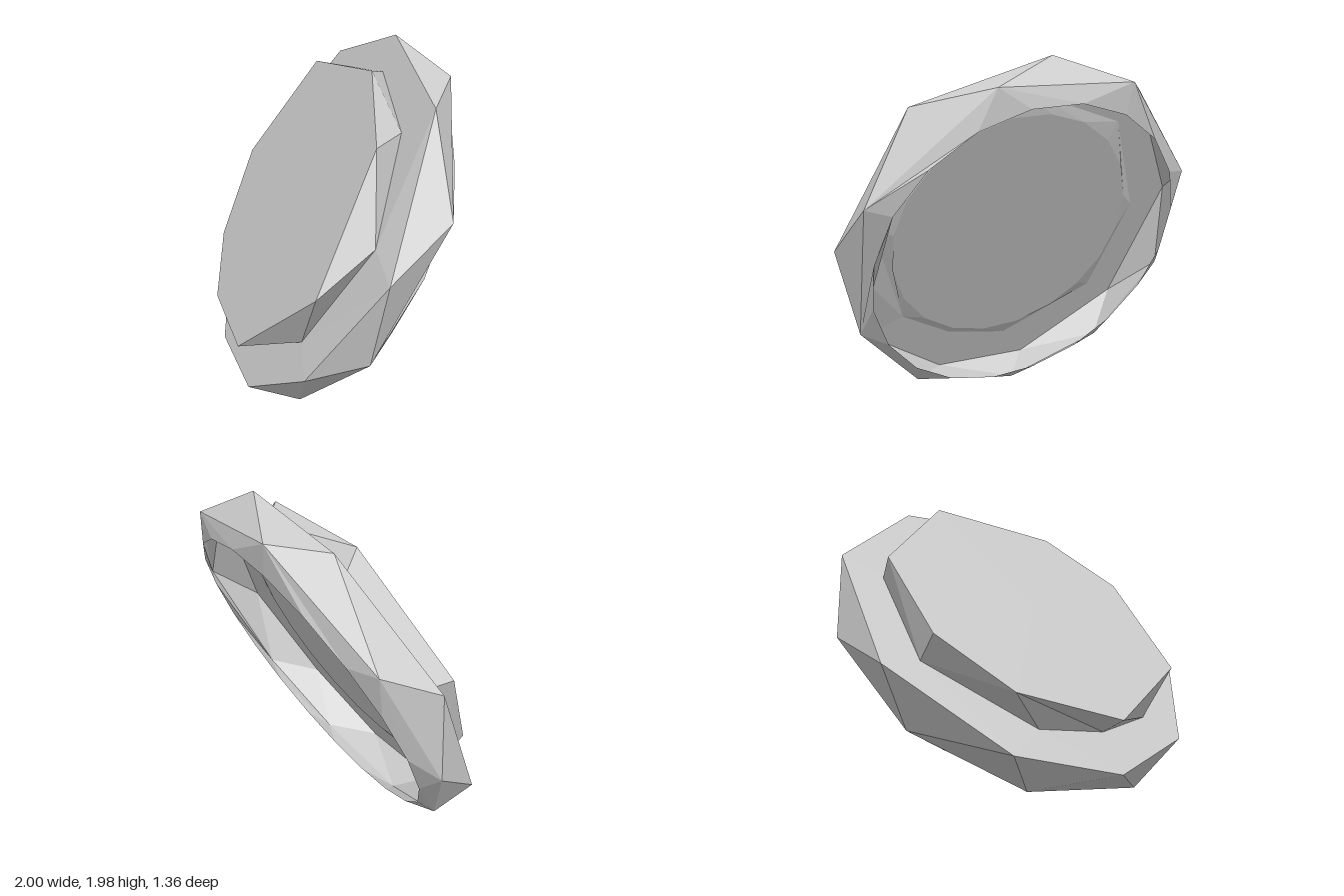
import * as THREE from 'three';

// Axis of the tilted disc, with two directions lying in its plane
const N = new THREE.Vector3(-0.354, 0.457, 0.817).normalize();
const U = new THREE.Vector3(1, 0, 0).addScaledVector(N, -N.x).normalize();
const V = new THREE.Vector3().crossVectors(N, U);

// Irregular ring: x, y corners laid on the plane at distance d along the axis,
// unless a corner gives its own z
const ring = (d, corners) => corners.map(([x, y, z = (d - N.x * x - N.y * y) / N.z]) =>
  new THREE.Vector3(x, y, z));

// Regular ring around a centre
const circle = (centre, r, n) => Array.from({ length: n }, (_, i) => {
  const a = ((i + 0.5) / n) * Math.PI * 2;
  return centre.clone().addScaledVector(U, r * Math.cos(a)).addScaledVector(V, r * Math.sin(a));
});

const middle = (pts) => pts.reduce((s, p) => s.add(p), new THREE.Vector3()).divideScalar(pts.length);

// Corners sorted by angle around the ring's middle
function sorted(pts) {
  const c = middle(pts);
  return pts.map((p) => {
    const q = p.clone().sub(c);
    return { p, a: Math.atan2(q.dot(V), q.dot(U)) };
  }).sort((s, t) => s.a - t.a);
}

// Triangles zipping two rings with different numbers of corners
function bridge(lower, upper) {
  const A = sorted(lower), B = sorted(upper), tris = [];
  const at = (R, i) => R[i % R.length].p;
  const ang = (R, i) => R[i % R.length].a + Math.floor(i / R.length) * Math.PI * 2;
  let i = 0, j = 0;
  while (i < A.length || j < B.length) {
    const stepA = j >= B.length || (i < A.length && ang(A, i + 1) <= ang(B, j + 1));
    if (stepA) { tris.push(at(A, i), at(A, i + 1), at(B, j)); i++; }
    else { tris.push(at(A, i), at(B, j + 1), at(B, j)); j++; }
  }
  return tris;
}

// Flat lid over a ring, facing along the axis or against it
function cap(pts, back = false) {
  const c = middle(pts), R = sorted(pts).map((s) => s.p);
  return R.flatMap((p, i) => {
    const q = R[(i + 1) % R.length];
    return back ? [c, q, p] : [c, p, q];
  });
}

export function createModel() {
  const group = new THREE.Group();
  group.name = 'tiltedDisc';
  const material = new THREE.MeshStandardMaterial({
    color: 0xcccccc, flatShading: true, side: THREE.DoubleSide,
  });
  const add = (name, tris) => {
    const geometry = new THREE.BufferGeometry().setFromPoints(tris);
    geometry.computeVertexNormals();
    const mesh = new THREE.Mesh(geometry, material);
    mesh.name = name;
    group.add(mesh);
  };

  // Rings from the open back to the raised front
  const lip = circle(new THREE.Vector3(0.025, 0.895, -0.137), 0.94, 20);
  const girdle = ring(0.35, [[1, 1.22, 0.163], [0.78, 0.505, 0.47], [0.31, 0.115, 0.51],
    [-0.34, 0, 0.295], [-0.8, 0.245], [-0.985, 0.745, -0.397], [-0.77, 1.36], [-0.14, 1.85], [0.58, 1.8]]);
  const rim = ring(0.552, [[0.17, 1.98], [-0.44, 1.83], [-0.98, 1.24], [-1, 0.51], [-0.55, 0.11],
    [0, 0.1], [0.54, 0.405, 0.685], [0.915, 0.975, 0.497], [0.79, 1.71]]);
  const base = ring(0.552, [[0.735, 1.08, 0.4], [0.38, 0.51], [0.04, 0.35], [-0.34, 0.29], [-0.8, 0.58],
    [-0.8, 1.14], [-0.41, 1.65], [0.18, 1.79], [0.58, 1.56]]);
  const face = ring(0.713, [[-0.41, 1.79], [0.31, 1.83], [0.63, 1.53], [0.595, 0.85], [-0.03, 0.36],
    [-0.57, 0.4], [-0.85, 0.67], [-0.9, 1.17]]);
  const floor = circle(new THREE.Vector3(-0.061, 1.014, 0.058), 0.755, 20);

  // Outer shell, open at the back
  add('backBevel', bridge(lip, girdle));
  add('frontBevel', bridge(girdle, rim));
  add('frontRim', bridge(rim, base));

  // Raised inner disc
  add('innerWall', bridge(base, face));
  add('innerFace', cap(face));
  add('innerBackBevel', bridge(floor, base));
  add('innerBack', cap(floor, true));
  return group;
}
